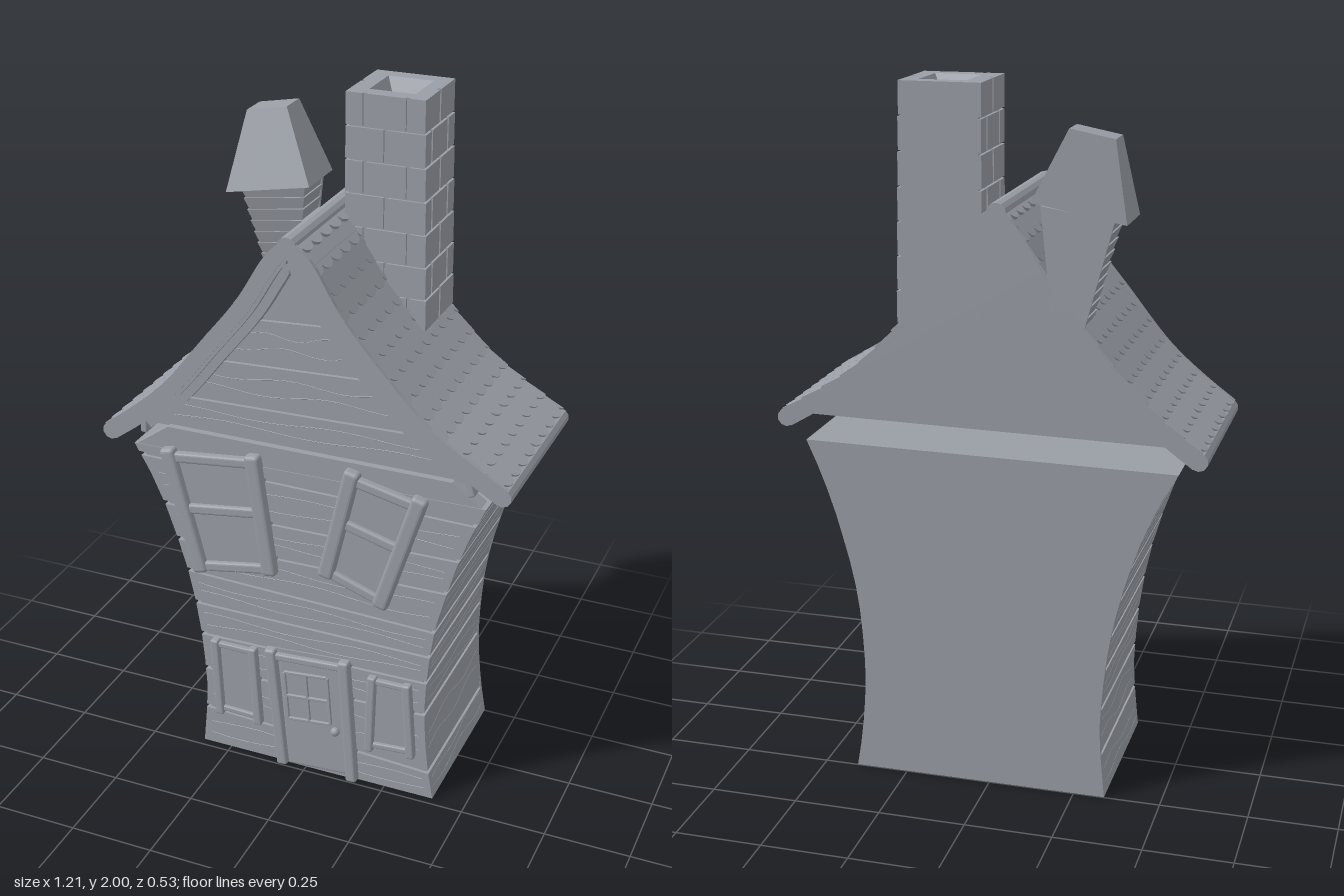
import * as THREE from 'three';
import { RoundedBoxGeometry } from 'three/addons/geometries/RoundedBoxGeometry.js';

const slate = new THREE.MeshStandardMaterial({ color: 0x999da5, flatShading: true });
const V = (x, y, z = 0) => new THREE.Vector3(x, y, z);

// piecewise-linear lookup in [y, x] pairs
const table = pairs => y => {
  let i = 1;
  while (i < pairs.length - 1 && y > pairs[i][0]) i++;
  const [y0, x0] = pairs[i - 1], [y1, x1] = pairs[i];
  return x0 + (x1 - x0) * (y - y0) / (y1 - y0);
};
// bulging wall outline and gable outline
const wallL = table([[0, -.34], [.1, -.33], [.2, -.323], [.3, -.328], [.4, -.337], [.5, -.352], [.6, -.373], [.7, -.402], [.8, -.436], [.9, -.48], [.98, -.525]]);
const wallR = table([[0, .402], [.1, .385], [.2, .375], [.3, .37], [.4, .374], [.5, .383], [.6, .398], [.7, .424], [.8, .452], [.9, .487], [.98, .522]]);
const gableL = table([[1.06, -.46], [1.16, -.36], [1.3, -.245], [1.45, -.13], [1.59, -.03]]);
const gableR = table([[1.06, .46], [1.16, .34], [1.3, .21], [1.45, .09], [1.59, -.02]]);

// roof slopes from ridge to eave
const RIDGE = -.028;
const slope = pts => new THREE.CatmullRomCurve3(pts.map(p => V(...p)));
const roofs = [
  { side: -1, curve: slope([[RIDGE, 1.693], [-.085, 1.64], [-.175, 1.497], [-.28, 1.365], [-.41, 1.206], [-.52, 1.11], [-.598, 1.052]]) },
  { side: 1, curve: slope([[RIDGE, 1.693], [.037, 1.64], [.127, 1.497], [.25, 1.35], [.38, 1.22], [.51, 1.135], [.596, 1.083]]) },
];
const normalAt = (r, t) => { const d = r.curve.getTangentAt(t); return V(-d.y * r.side, d.x * r.side); };
const offsetLine = (r, depth, n = 32) => Array.from({ length: n + 1 }, (_, i) => {
  const p = r.curve.getPointAt(i / n).addScaledVector(normalAt(r, i / n), -depth);
  p.x = r.side * Math.max(r.side * p.x, r.side * RIDGE);
  return p;
});

function createModel() {
  const model = new THREE.Group();
  const add = (name, geo, parent = model) => {
    const m = new THREE.Mesh(geo, slate);
    m.name = name;
    parent.add(m);
    return m;
  };
  const group = name => { const g = new THREE.Group(); g.name = name; model.add(g); return g; };
  const slab = (name, pts, z0, z1, parent) => {
    const geo = new THREE.ExtrudeGeometry(new THREE.Shape(pts.map(p => new THREE.Vector2(p.x, p.y))), { depth: z1 - z0, bevelEnabled: false });
    return add(name, geo.translate(0, 0, z0), parent);
  };
  // strip between two sloping lines, following side outlines
  const strip = (L, R, [bl, br], [tl, tr], inset = 0, n = 5) => {
    const pts = [];
    for (let i = 0; i <= n; i++) { const y = br + (tr - br) * i / n; pts.push(V(R(y) - inset, y)); }
    for (let i = n; i >= 0; i--) { const y = bl + (tl - bl) * i / n; pts.push(V(L(y) + inset, y)); }
    return pts;
  };
  // soft-edged bar between two points
  const bar = (name, x1, y1, x2, y2, w, z0, z1, parent) => {
    const m = add(name, new RoundedBoxGeometry(Math.hypot(x2 - x1, y2 - y1), w, z1 - z0, 2, Math.min(w, z1 - z0) * .25), parent);
    m.position.set((x1 + x2) / 2, (y1 + y2) / 2, (z0 + z1) / 2);
    m.rotation.z = Math.atan2(y2 - y1, x2 - x1);
  };
  // four-sided loft through rings [x0, x1, z0, z1, yLeft, yRight]
  const loft = (name, rings, parent) => {
    const pos = [], idx = [];
    for (const [x0, x1, z0, z1, yl, yr = yl] of rings) pos.push(x0, yl, z1, x1, yr, z1, x1, yr, z0, x0, yl, z0);
    for (let r = 0; r < rings.length - 1; r++) for (let i = 0; i < 4; i++) {
      const a = r * 4 + i, b = r * 4 + (i + 1) % 4;
      idx.push(a, b, b + 4, a, b + 4, a + 4);
    }
    const e = rings.length * 4 - 4;
    idx.push(0, 2, 1, 0, 3, 2, e, e + 1, e + 2, e, e + 2, e + 3);
    const g = new THREE.BufferGeometry();
    g.setAttribute('position', new THREE.Float32BufferAttribute(pos, 3));
    g.setIndex(idx);
    const flat = g.toNonIndexed();
    flat.computeVertexNormals();
    add(name, flat, parent);
  };

  // walls: core, flat back and wrapped planks
  const walls = group('walls');
  slab('wallCore', strip(wallL, wallR, [0, 0], [.98, .98], .012, 14), -.248, .218, walls);
  slab('backWall', strip(wallL, wallR, [0, 0], [.985, .995], 0, 14), -.252, -.24, walls);
  const lines = [[0, 0], [.13, .09], [.27, .29], [.39, .4], [.495, .49], [.6, .575], [.7, .71], [.81, .82], [.955, .94], [.985, .995]];
  const gap = .006;
  // fine wavy grain lying almost flush with the boards
  const grain = (L, R, b, t, z, parent, sides) => {
    for (let k = 1; k <= 2; k++) {
      const y = s => { const u = (s + 1) / 2, lo = b[0] + (b[1] - b[0]) * u, hi = t[0] + (t[1] - t[0]) * u; return lo + (hi - lo) * (k / 3 + .07 * Math.sin(s * 5 + k * 2 + b[0] * 20)); };
      const S = Array.from({ length: 13 }, (_, i) => -0.94 + i * 1.88 / 12);
      const paths = [S.map(s => V((L(y(s)) + R(y(s))) / 2 + s * (R(y(s)) - L(y(s))) / 2, y(s), z))];
      if (sides) paths.push(S.map(s => V(R(y(s)), y(s), s * .23 - .01)), S.map(s => V(L(y(s)), y(s), s * .23 - .01)));
      for (const p of paths) add('woodGrain', new THREE.TubeGeometry(new THREE.CatmullRomCurve3(p), 24, .001, 4), parent);
    }
  };
  for (let i = 0; i < lines.length - 1; i++) {
    const b = lines[i].map(y => y + (i ? gap : 0)), t = lines[i + 1].map(y => y - (i < 8 ? gap : 0));
    slab('wallPlank', strip(wallL, wallR, b, t), -.25, .228, walls);
    if (i < 8) grain(wallL, wallR, b, t, .228, walls, true);
  }
  slab('wallTopBoard', [V(-.525, .98), V(.522, .99), V(.43, 1.055), V(-.42, 1.055)], .18, .225, walls);

  // gable front with planks, and flat attic back
  const gable = group('gable');
  slab('gableCore', strip(gableL, gableR, [1.05, 1.05], [1.59, 1.59], 0, 8), .17, .205, gable);
  const gLines = [[1.06, 1.065], [1.16, 1.175], [1.29, 1.31], [1.43, 1.445], [1.58, 1.58]];
  for (let i = 0; i < 4; i++) {
    const b = gLines[i].map(y => y + gap), t = gLines[i + 1].map(y => y - gap);
    slab('gablePlank', strip(gableL, gableR, b, t), .2, .216, gable);
    if (i < 3) grain(gableL, gableR, b, t, .216, gable, false);
  }
  const under = r => offsetLine(r, .006).filter(p => p.y > 1.06);
  slab('atticBack', [...under(roofs[0]).reverse(), ...under(roofs[1]).slice(1)], -.265, -.245, gable);

  // roof shells, trim and scalloped shingles
  const W = .526, TILE = .0623, ROWS = 13;
  for (const r of roofs) {
    const roof = group(r.side < 0 ? 'rightRoof' : 'leftRoof');
    slab('roofShell', [...offsetLine(r, .012), ...offsetLine(r, .055).reverse()], -.262, .262, roof);
    slab('roofEdgeBoard', [...offsetLine(r, 0), ...offsetLine(r, .045).reverse()], .252, .265, roof);
    slab('gableTrim', [...offsetLine(r, .05).slice(0, 29), ...offsetLine(r, .08).slice(0, 29).reverse()], .17, .246, roof);
    const eave = add('eaveRoll', new THREE.CylinderGeometry(.026, .026, W, 10), roof);
    eave.rotation.x = Math.PI / 2;
    eave.position.copy(r.curve.getPointAt(1).addScaledVector(normalAt(r, 1), -.028));
    for (let i = 0; i < ROWS; i++) {
      const t1 = (i + 1) / ROWS, t0 = Math.max(0, (i - .5) / ROWS);
      const low = r.curve.getPointAt(t1).addScaledVector(normalAt(r, t1), -.009);
      const high = r.curve.getPointAt(t0).addScaledVector(normalAt(r, t0), -.016);
      const up = high.clone().sub(low), len = up.length();
      up.normalize();
      const out = V(up.y * r.side, -up.x * r.side), across = up.clone().cross(out);
      const shape = new THREE.Shape().moveTo(W / 2, len).lineTo(-W / 2, len);
      for (let k = 0; k <= 68; k++) {
        const u = -W / 2 + W * k / 68, f = (u / TILE + 20 + (i % 2) / 2) % 1 * 2 - 1;
        shape.lineTo(u, .027 * (1 - Math.sqrt(Math.max(0, 1 - f * f))));
      }
      const m = add('shingleRow', new THREE.ExtrudeGeometry(shape, { depth: .01, bevelEnabled: false }), roof);
      m.applyMatrix4(new THREE.Matrix4().makeBasis(across, up, out).setPosition(low));
    }
    bar('eavePeg', r.side * .48 - .005, 1.09, r.side * .49, 1.03, .02, .16, .24, roof);
  }
  const ridge = add('ridgeCap', new THREE.CylinderGeometry(.028, .028, W, 12));
  ridge.rotation.x = Math.PI / 2;
  ridge.position.set(RIDGE, 1.665, 0);

  // brick chimney with sunken flue
  const chimney = group('brickChimney');
  loft('chimneyCore', [[.018, .24, -.265, -.047, 1.3], [.018, .227, -.265, -.047, 2], [.06, .19, -.222, -.085, 2],
    [.085, .16, -.195, -.115, 1.95]], chimney);
  const COURSES = 8, H = .093, JOINT = .005;
  const courseCuts = n => n % 2 ? [0, .24, .78, 1] : [0, .5, 1];
  const bricksAlong = (a, b, cuts, build) => {
    for (let k = 1; k < cuts.length; k++) build(
      a + (b - a) * cuts[k - 1] + (k > 1 ? JOINT : 0),
      a + (b - a) * cuts[k] - (k < cuts.length - 1 ? JOINT : 0));
  };
  for (let c = 0; c < COURSES; c++) {
    const y1 = 2 - (COURSES - 1 - c) * H, y0 = y1 - H + .005, xr = .25 - .015 * c / (COURSES - 1);
    const brick = (...box) => loft('brick', [[...box, y0], [...box, y1]], chimney);
    bricksAlong(.01, xr, courseCuts(c), (x0, x1) => brick(x0, x1, -.055, -.04));
    bricksAlong(-.265, -.04, courseCuts(c + 1), (z0, z1) => {
      brick(.01, .025, z0, z1);
      brick(xr - .022, xr, z0, z1);
    });
  }

  // leaning slatted vent with flat back and hood
  const vent = group('hoodedVent');
  const ring = (t, e, z0, z1) => [-.25 - .096 * t - e, -.19 + .042 * t + e, z0, z1 ?? -.16 + .03 * t + e, 1.3 + .36 * t, 1.3 + .39 * t];
  for (let i = 0; i < 11; i++) loft('ventSlat', [ring(i / 11, -.004, -.262), ring((i + 1) / 11, .001, -.262)], vent);
  loft('ventBack', [ring(0, 0, -.265, -.255), ring(1, 0, -.265, -.255)], vent);
  loft('ventHood', [[-.378, -.122, -.265, -.1, 1.65, 1.698], [-.345, -.223, -.265, -.18, 1.87, 1.893]], vent);

  // windows: two posts [xTop, yTop, xBottom, yBottom], rails at fractions down the posts
  const frame = (name, a, b, w, rails, z1, over) => {
    const g = group(name);
    const on = (p, t) => [p[0] + (p[2] - p[0]) * t, p[1] + (p[3] - p[1]) * t];
    slab('pane', [on(a, over), on(a, 1 - over), on(b, 1 - over), on(b, over)].map(p => V(...p)), .2, .232, g);
    for (const p of [a, b]) bar('post', ...p, w, .2, z1, g);
    for (const t of rails) bar('rail', ...on(a, t), ...on(b, t), w * .65, .2, z1 - .007, g);
    return g;
  };
  frame('upperRightWindow', [-.418, .995, -.322, .61], [-.153, 1.025, -.103, .65], .046, [.07, .48, .95], .253, .05);
  frame('upperLeftWindow', [.15, 1.037, .068, .685], [.348, .995, .232, .625], .046, [.08, .47, .95], .253, .05);
  frame('lowerRightWindow', [-.287, .385, -.275, .125], [-.165, .385, -.15, .12], .026, [.06, .92], .25, .05);
  frame('lowerLeftWindow', [.213, .385, .205, .125], [.318, .385, .335, .135], .026, [.06, .92], .25, .05);

  // door with posts, lintel, four-pane window and knob
  const door = frame('door', [-.106, .4, -.07, 0], [.125, .415, .153, 0], .034, [.06], .254, 0);
  bar('doorPanel', .015, .375, .04, .004, .2, .2, .236, door);
  const tilt = (x, y) => [.01 + x - y * .07, .255 + y + x * .1];
  for (const s of [-1, 0, 1]) {
    bar('muntin', ...tilt(s * .068, -.08), ...tilt(s * .068, .08), .009, .23, .243, door);
    bar('muntin', ...tilt(-.068, s * .08), ...tilt(.068, s * .08), .009, .23, .243, door);
  }
  add('doorKnob', new THREE.SphereGeometry(.014, 12, 8), door).position.set(.1, .163, .243);
  return model;
}

export { createModel };
